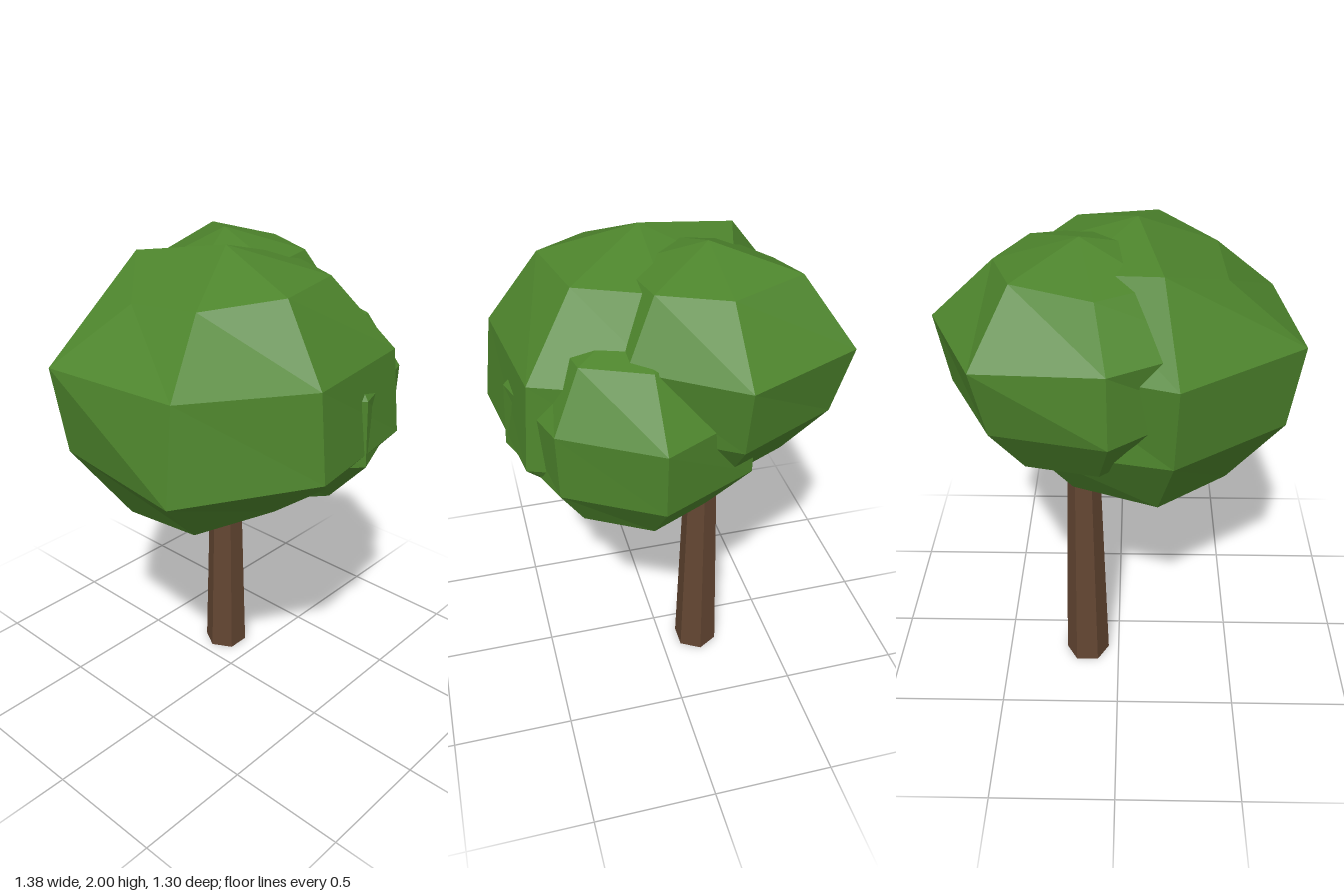
import * as THREE from 'three';

const SIDES = 7;
const BANDS = 5;

// Faceted leaf clump: a seven-sided ball whose rings have uneven radii.
// rings lists four radii rows from top to bottom, starting at +x and turning towards +z.
// lifts raises or lowers single corners, as [row, corner, change in height].
function makeClump(name, [cx, cy, cz], halfHeight, rings, lifts, material) {
  const sphere = new THREE.SphereGeometry(1, SIDES, BANDS);
  const pos = sphere.attributes.position;
  for (let i = 0; i < pos.count; i++) {
    const row = Math.floor(i / (SIDES + 1));
    const k = (SIDES - (i % (SIDES + 1))) % SIDES;
    const angle = (k / SIDES) * Math.PI * 2;
    const radius = row === 0 || row === BANDS ? 0 : rings[row - 1][k];
    const lift = lifts.find(([r, c]) => r === row && c === k);
    pos.setXYZ(
      i,
      cx + Math.cos(angle) * radius,
      cy + Math.cos((row / BANDS) * Math.PI) * halfHeight + (lift ? lift[2] : 0),
      cz + Math.sin(angle) * radius
    );
  }
  const geometry = sphere.toNonIndexed();
  geometry.computeVertexNormals();
  const mesh = new THREE.Mesh(geometry, material);
  mesh.name = name;
  return mesh;
}

export function createModel() {
  const tree = new THREE.Group();
  tree.name = 'tree';

  const bark = new THREE.MeshStandardMaterial({ color: 0x634632, flatShading: true });
  bark.name = 'bark brown';
  const leaf = new THREE.MeshStandardMaterial({ color: 0x4d842c, flatShading: true });
  leaf.name = 'leaf green';

  // Tapered six-sided trunk
  const trunk = new THREE.Mesh(new THREE.CylinderGeometry(0.06, 0.096, 1.25, 6), bark);
  trunk.name = 'trunk';
  trunk.rotation.y = Math.PI / 6;
  trunk.position.set(0.142, 0.625, -0.165);
  tree.add(trunk);

  // Three overlapping leaf clumps
  tree.add(
    makeClump('mainFoliage', [-0.07, 1.445, 0.04], 0.557, [
      [0.38, 0.39, 0.38, 0.345, 0.37, 0.405, 0.38],
      [0.6, 0.645, 0.585, 0.62, 0.69, 0.655, 0.6],
      [0.62, 0.68, 0.625, 0.69, 0.64, 0.61, 0.62],
      [0.43, 0.41, 0.33, 0.41, 0.41, 0.395, 0.4],
    ], [
      [1, 3, -0.045], [1, 4, -0.075], [1, 5, 0.035],
      [3, 3, -0.02],
      [4, 0, -0.05], [4, 2, 0.035], [4, 4, -0.035], [4, 5, -0.045],
    ], leaf),
    makeClump('upperBackFoliage', [0.14, 1.555, -0.165], 0.445, [
      [0.31, 0.32, 0.32, 0.32, 0.32, 0.28, 0.355],
      [0.55, 0.475, 0.5, 0.5, 0.555, 0.48, 0.57],
      [0.5, 0.45, 0.48, 0.48, 0.5, 0.5, 0.5],
      [0.33, 0.32, 0.32, 0.32, 0.32, 0.33, 0.33],
    ], [[1, 4, -0.04], [1, 5, -0.04], [1, 6, 0.025]], leaf),
    makeClump('lowerFrontFoliage', [0.2, 1.357, 0.125], 0.43, [
      [0.3, 0.31, 0.3, 0.29, 0.29, 0.29, 0.3],
      [0.49, 0.45, 0.49, 0.47, 0.47, 0.47, 0.48],
      [0.475, 0.44, 0.503, 0.47, 0.47, 0.47, 0.48],
      [0.3, 0.32, 0.3, 0.29, 0.29, 0.29, 0.3],
    ], [[4, 1, 0.035]], leaf)
  );

  return tree;
}
